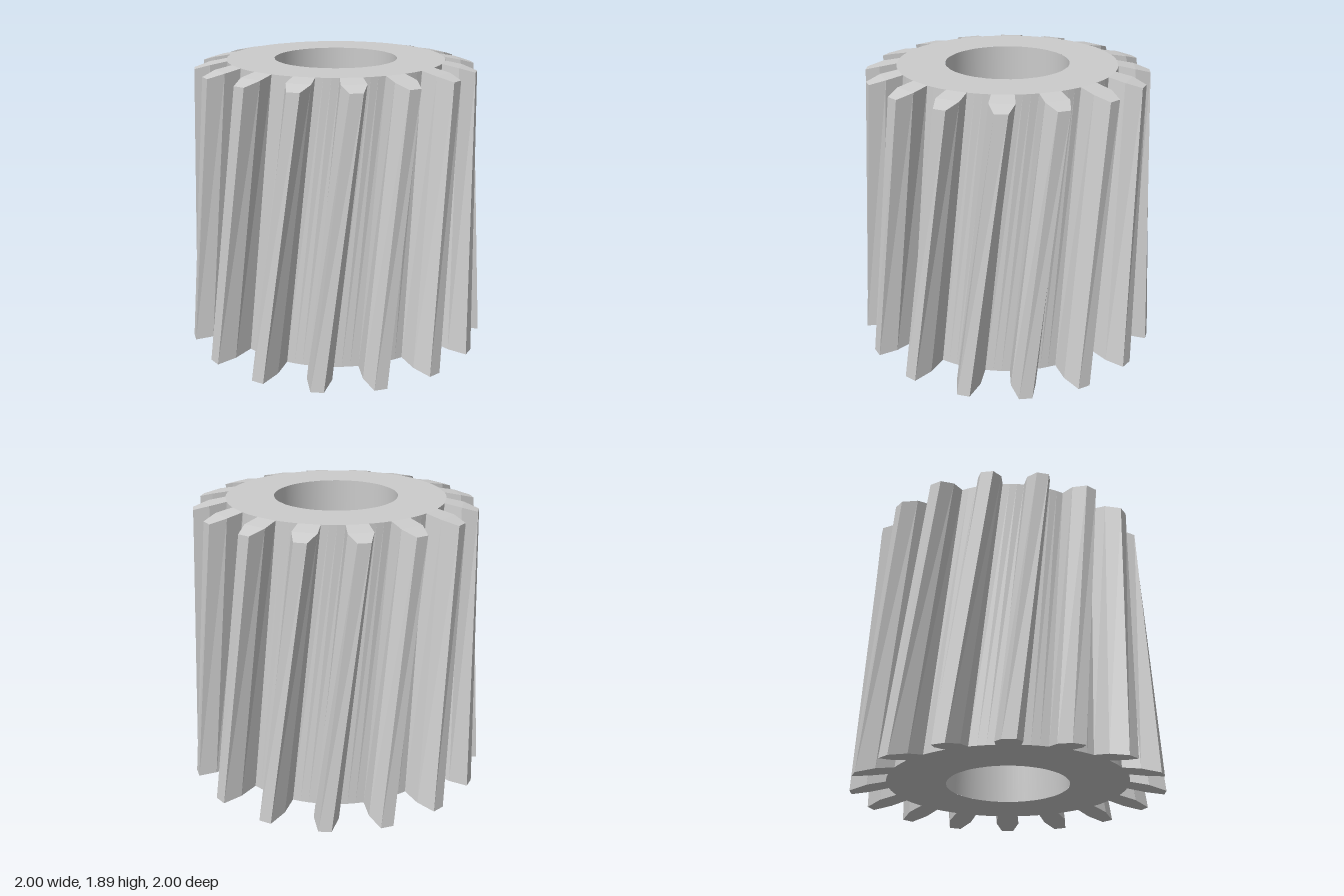
import * as THREE from 'three';

const TEETH = 16, PER_TOOTH = 8, BORE = 0.4;
const PITCH = (Math.PI * 2) / TEETH;

// Half tooth sections: [radius, half width, y] at root, flank and tip
const BOTTOM = { turn: -11.25, rows: [[0.78, 0.073, 0.05], [0.9, 0.08, 0.027], [1.012, 0.042, 0]] };
const TOP = { turn: 2.6, rows: [[0.71, 0.068, 1.89], [0.82, 0.077, 1.87], [0.917, 0.04, 1.84]] };

const polar = (r, a, y) => new THREE.Vector3(r * Math.sin(a), y, r * Math.cos(a));

// Closed gear outline: six points over each tooth, two along each gap
function outline({ turn, rows }) {
  const points = [];
  for (let i = 0; i < TEETH; i++) {
    const a = THREE.MathUtils.degToRad(turn) + i * PITCH;
    const side = (s, [r, w, y]) => points.push(polar(r, a + s * Math.asin(w / r), y));
    rows.forEach((row) => side(-1, row));
    [...rows].reverse().forEach((row) => side(1, row));
    const [r, w, y] = rows[0];
    const half = Math.asin(w / r);
    for (const t of [1 / 3, 2 / 3]) points.push(polar(r, a + half + t * (PITCH - 2 * half), y));
  }
  return points;
}

function mesh(name, build, material) {
  const positions = [];
  const quad = (a, b, c, d) => [a, b, c, a, c, d].forEach((p) => positions.push(p.x, p.y, p.z));
  build(quad);
  const geometry = new THREE.BufferGeometry();
  geometry.setAttribute('position', new THREE.Float32BufferAttribute(positions, 3));
  geometry.computeVertexNormals();
  const m = new THREE.Mesh(geometry, material);
  m.name = name;
  return m;
}

export function createModel() {
  const group = new THREE.Group();
  group.name = 'helicalBevelGear';
  const flat = new THREE.MeshStandardMaterial({ color: 0xcccccc, flatShading: true });
  const low = outline(BOTTOM), high = outline(TOP), n = low.length;

  // Twisted, tapering flanks, tips and gaps
  group.add(mesh('toothedWall', (quad) => {
    for (let j = 0; j < n; j++) {
      const k = (j + 1) % n;
      quad(low[j], low[k], high[k], high[j]);
    }
  }, flat));

  // End faces: flat ring around the bore, sloping tooth ends
  const endFace = (name, pts, up) => mesh(name, (quad) => {
    const face = (a, b, c, d) => (up ? quad(a, b, c, d) : quad(d, c, b, a));
    const inner = (p) => polar(BORE, Math.atan2(p.x, p.z), p.y);
    for (let i = 0; i < TEETH; i++) {
      const p = (k) => pts[(i * PER_TOOTH + k) % n];
      face(p(0), p(1), p(4), p(5));
      face(p(1), p(2), p(3), p(4));
      for (const [a, b] of [[0, 5], [5, 6], [6, 7], [7, 8]]) face(p(a), p(b), inner(p(b)), inner(p(a)));
    }
  }, flat);
  group.add(endFace('topFace', high, true), endFace('bottomFace', low, false));

  // Smooth shaft hole
  const bore = new THREE.Mesh(
    new THREE.CylinderGeometry(BORE, BORE, 1.84, 64, 1, true),
    new THREE.MeshStandardMaterial({ color: 0xcccccc, side: THREE.BackSide })
  );
  bore.name = 'bore';
  bore.position.y = 0.97;
  group.add(bore);
  return group;
}
